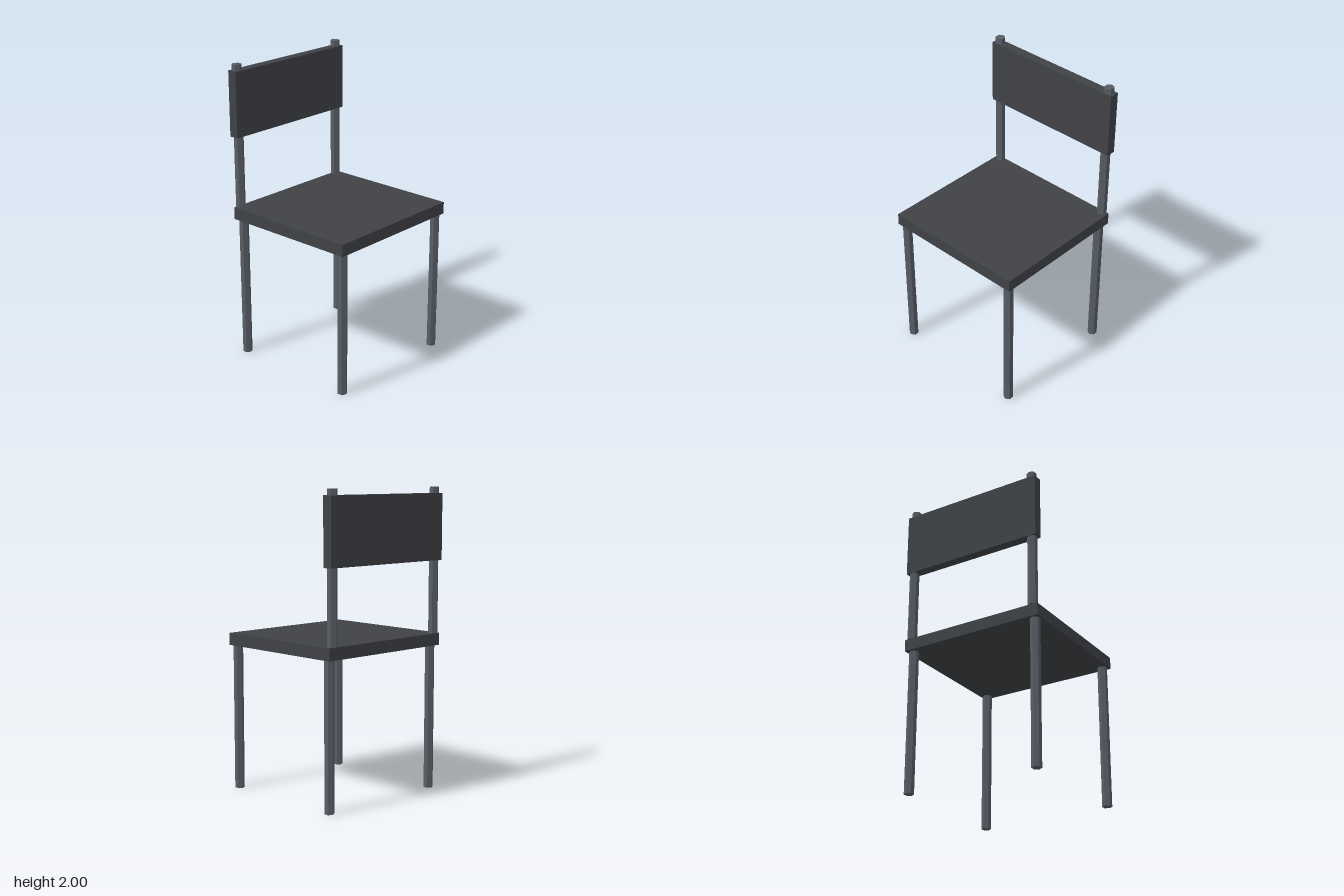
import * as THREE from 'three';

export function createModel() {
  const chair = new THREE.Group();
  chair.name = 'chair';
  const panelMaterial = new THREE.MeshStandardMaterial({ color: 0x3f4246 });
  const tubeMaterial = new THREE.MeshStandardMaterial({ color: 0x585d65, flatShading: true });

  const seatBottom = 0.965, seatTop = 1.045;

  function panel(name, y0, y1, z0, z1) {
    const mesh = new THREE.Mesh(new THREE.BoxGeometry(1, y1 - y0, z1 - z0), panelMaterial);
    mesh.name = name;
    mesh.position.set(0, (y0 + y1) / 2, (z0 + z1) / 2);
    chair.add(mesh);
  }

  // Hexagonal bar with its corners pointing along z
  function bar(name, x, z, y0, y1) {
    const mesh = new THREE.Mesh(new THREE.CylinderGeometry(0.032, 0.032, y1 - y0, 6), tubeMaterial);
    mesh.name = name;
    mesh.position.set(x, (y0 + y1) / 2, z);
    chair.add(mesh);
  }

  panel('seat', seatBottom, seatTop, -0.472, 0.482);
  panel('backrest', 1.527, 1.96, -0.485, -0.42);

  // Legs below the seat and posts above it, mirrored left and right
  for (const [side, sign] of [['left', 1], ['right', -1]]) {
    const x = sign * 0.458;
    bar(`${side}FrontLeg`, x, 0.443, 0, seatBottom);
    bar(`${side}BackLeg`, x, -0.427, 0, seatBottom);
    bar(`${side}BackPost`, x, -0.4525, seatTop, 2);
  }
  return chair;
}
